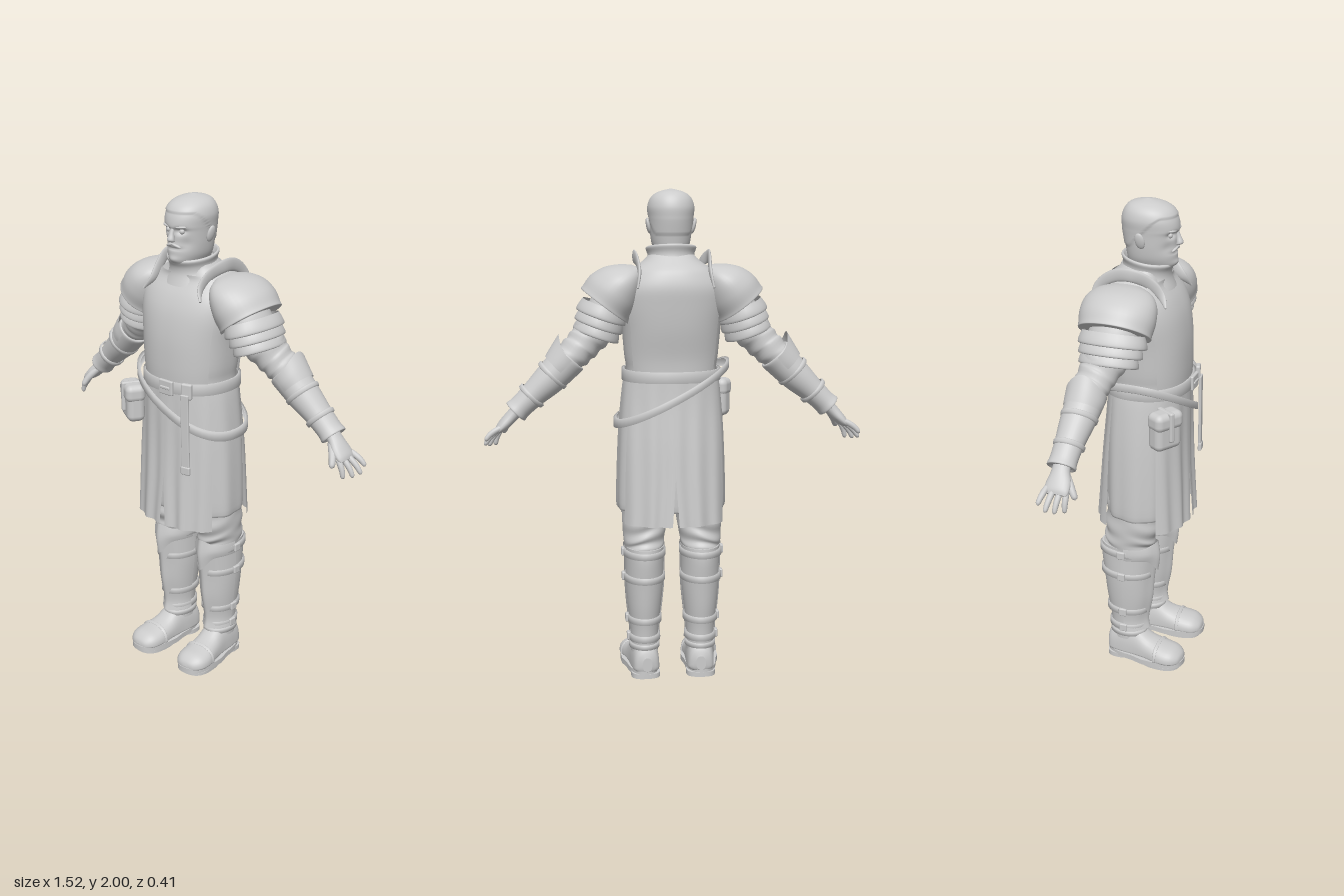
import * as THREE from 'three';
import { RoundedBoxGeometry } from 'three/addons/geometries/RoundedBoxGeometry.js';

const V3 = (x, y, z) => new THREE.Vector3(x, y, z);
const UP = V3(0, 1, 0), FRONT = V3(0, 0, 1), SIDE = V3(1, 0, 0);
const bump = (x, w) => Math.exp(-(x * x) / (w * w));

// Skin over cross-sections. Each row: [x, y, z, radiusU, radiusV+, radiusV-].
function loft(rows, { n = 4, seg = 32, ref = FRONT, axis = null, pow = 1, from = 0, to = 360, caps = true, warp = null } = {}) {
  const full = to - from === 360, cols = full ? seg : seg + 1;
  const R = rows.map(r => (r.length < 6 ? [...r, r[4] ?? r[3], r[4] ?? r[3]].slice(0, 3).concat([r[3], r[4] ?? r[3], r[4] ?? r[3]]) : r));
  const at = (i) => R[Math.max(0, Math.min(R.length - 1, i))];
  const rings = [];
  for (let k = 0; k <= (R.length - 1) * n; k++) {
    const i = Math.min(Math.floor(k / n), R.length - 2), t = k / n - i;
    rings.push(at(i).map((b, c) => {
      const a = at(i - 1)[c], d = at(i + 1)[c], e = at(i + 2)[c];
      const v = b + 0.5 * t * (d - a + t * (2 * a - 5 * b + 4 * d - e + t * (3 * (b - d) + e - a)));
      return c > 2 ? Math.max(0, v) : v;
    }));
  }
  const pos = [], idx = [], sp = (v) => Math.sign(v) * Math.abs(v) ** pow, last = rings.length - 1;
  rings.forEach((r, k) => {
    const p = rings[Math.max(0, k - 1)], q = rings[Math.min(last, k + 1)];
    const T = axis ? axis.clone() : V3(q[0] - p[0], q[1] - p[1], q[2] - p[2]).normalize();
    const V = ref.clone().addScaledVector(T, -ref.dot(T)).normalize(), U = T.clone().cross(V);
    for (let j = 0; j < cols; j++) {
      const th = THREE.MathUtils.degToRad(from + (to - from) * j / seg), s = Math.sin(th);
      const pt = V3(r[0], r[1], r[2]).addScaledVector(U, r[3] * sp(Math.cos(th))).addScaledVector(V, (s > 0 ? r[4] : r[5]) * sp(s));
      if (warp) warp(pt, th, k / last);
      pos.push(pt.x, pt.y, pt.z);
    }
  });
  for (let k = 0; k < last; k++) for (let j = 0; j < seg; j++) {
    const a = k * cols + j, b = k * cols + (j + 1) % cols, c = a + cols, d = b + cols;
    idx.push(a, c, b, b, c, d);
  }
  if (caps && full) for (const k of [0, last]) {
    const base = pos.length / 3, mid = [0, 0, 0];
    for (let j = 0; j < cols; j++) for (let c = 0; c < 3; c++) {
      const v = pos[(k * cols + j) * 3 + c];
      pos.push(v);
      mid[c] += v / cols;
    }
    pos.push(...mid);
    for (let j = 0; j < cols; j++) {
      const a = base + j, b = base + (j + 1) % cols;
      idx.push(...(k ? [b, a, base + cols] : [a, b, base + cols]));
    }
  }
  const g = new THREE.BufferGeometry();
  g.setAttribute('position', new THREE.Float32BufferAttribute(pos, 3));
  g.setIndex(idx);
  g.computeVertexNormals();
  return g;
}

function mirrored(geo) {
  const g = geo.clone().scale(-1, 1, 1);
  const src = g.index ? Array.from(g.index.array) : Array.from({ length: g.attributes.position.count }, (_, i) => i);
  for (let i = 0; i < src.length; i += 3) [src[i], src[i + 1]] = [src[i + 1], src[i]];
  g.setIndex(src);
  return g;
}

export function createModel() {
  const model = new THREE.Group();
  const grey = new THREE.MeshStandardMaterial({ color: 0xcccccc, side: THREE.DoubleSide });
  grey.name = 'plain grey';
  const add = (name, geo) => {
    const m = new THREE.Mesh(geo, grey);
    m.name = name;
    model.add(m);
  };
  const pair = (name, geo) => { add(name + 'Left', geo); add(name + 'Right', mirrored(geo)); };
  const box = (w, h, d, x, y, z, ry = 0, rz = 0) =>
    new RoundedBoxGeometry(w, h, d, 3, Math.min(w, h, d) * 0.35).rotateZ(rz).rotateY(ry).translate(x, y, z);
  // A strap around a vertical form, with a little thickness
  const band = (x, y, z, h, rx, rf, rb, warp = null, pow = 1) => loft(
    [[-0.5, -0.012], [-0.5, 0], [0.5, 0], [0.5, -0.012]].map(([k, o]) => [x, y + k * h, z, rx + o, rf + o, rb + o]),
    { n: 1, seg: 48, axis: UP, caps: false, warp, pow });

  // Head: sockets, brow, lips and a raised hairline
  add('head', loft([[0, 1.7, 0.005, 0.07, 0.06, 0.08], [0, 1.735, 0.01, 0.055, 0.085, 0.085], [0, 1.75, 0.01, 0.062, 0.104, 0.088],
    [0, 1.78, 0.01, 0.075, 0.109, 0.092], [0, 1.82, 0.01, 0.082, 0.109, 0.098], [0, 1.87, 0.01, 0.086, 0.112, 0.106],
    [0, 1.893, 0.01, 0.088, 0.118, 0.108], [0, 1.93, 0.008, 0.09, 0.113, 0.106], [0, 1.965, 0.005, 0.078, 0.095, 0.09],
    [0, 1.988, 0, 0.05, 0.06, 0.06], [0, 2, 0, 0.006, 0.006, 0.006]], {
    n: 7, seg: 72, axis: UP, pow: 0.95, warp: (p) => {
      const x = Math.abs(p.x);
      if (p.z > 0.05) {
        p.z -= 0.016 * bump(x - 0.034, 0.018) * bump(p.y - 1.874, 0.012);
        p.z -= 0.008 * bump(x, 0.03) * bump(p.y - 1.803, 0.005);
        p.z += 0.005 * bump(x, 0.03) * bump(p.y - 1.815, 0.007);
        p.z -= 0.006 * bump(x - 0.05, 0.018) * bump(p.y - 1.825, 0.02);
        p.z += 0.006 * bump(x, 0.025) * bump(p.y - 1.76, 0.012);
      }
      const line = 1.94 - 0.07 * THREE.MathUtils.smoothstep(-p.z, -0.08, 0.02) - 0.05 * THREE.MathUtils.smoothstep(-p.z, 0, 0.06);
      const k = 0.04 * THREE.MathUtils.smoothstep(p.y, line, line + 0.006) * (p.y < 1.985 ? 1 : 0.5);
      p.x *= 1 + k; p.z *= 1 + k;
    } }));
  add('nose', loft([[0, 1.888, 0.116, 0.009, 0.008], [0, 1.862, 0.124, 0.01, 0.011], [0, 1.842, 0.13, 0.015, 0.014],
    [0, 1.833, 0.126, 0.014, 0.012], [0, 1.829, 0.12, 0.004, 0.004]], { seg: 16, axis: V3(0, -1, 0) }));
  pair('ear', new THREE.SphereGeometry(1, 16, 12).scale(0.009, 0.033, 0.02).rotateZ(-0.2).rotateX(-0.15).translate(0.091, 1.855, 0));
  pair('eye', new THREE.SphereGeometry(0.011, 14, 10).translate(0.034, 1.872, 0.102));
  pair('brow', new THREE.SphereGeometry(1, 14, 10).scale(0.024, 0.005, 0.009).rotateZ(0.08).rotateY(0.35).translate(0.036, 1.89, 0.113));
  pair('moustache', new THREE.SphereGeometry(1, 14, 10).scale(0.022, 0.006, 0.007).rotateZ(-0.3).rotateY(0.25).translate(0.017, 1.816, 0.117));

  // Rolled collar, higher at the nape
  const tilt = (p) => { p.y -= 0.16 * p.z; };
  add('collar', loft([[0, 1.67, -0.01, 0.13, 0.12, 0.13], [0, 1.71, -0.005, 0.1, 0.1, 0.1], [0, 1.74, 0, 0.094, 0.096, 0.098],
    [0, 1.765, 0, 0.102, 0.108, 0.104], [0, 1.772, 0, 0.094, 0.1, 0.096], [0, 1.75, 0, 0.08, 0.085, 0.085]], { axis: UP, caps: false, warp: tilt }));

  // Cuirass, with side seams and soft chest shaping
  add('torso', loft([[0, 1.2, 0, 0.185, 0.165, 0.14], [0, 1.28, 0, 0.182, 0.162, 0.138], [0, 1.34, 0, 0.19, 0.166, 0.145],
    [0, 1.45, 0, 0.2, 0.162, 0.165], [0, 1.55, 0, 0.215, 0.146, 0.175], [0, 1.62, 0, 0.21, 0.118, 0.178],
    [0, 1.68, -0.01, 0.165, 0.09, 0.15], [0, 1.72, -0.01, 0.11, 0.08, 0.11], [0, 1.75, 0, 0.085, 0.08, 0.085]],
  { axis: UP, seg: 64, pow: 0.85, warp: (p) => { p.z += 0.008 * bump(p.y - 1.52, 0.08) * bump(Math.abs(p.x) - 0.08, 0.06) * Math.sign(p.z); } }));
  const tabard = [[0, 1.27, 0, 0.19, 0.17, 0.147], [0, 1.34, 0, 0.198, 0.173, 0.152], [0, 1.45, 0, 0.207, 0.17, 0.172],
    [0, 1.55, 0, 0.22, 0.154, 0.183], [0, 1.62, 0, 0.215, 0.126, 0.186], [0, 1.675, -0.01, 0.172, 0.1, 0.16], [0, 1.7, -0.01, 0.14, 0.098, 0.14]];
  for (const [name, from, to] of [['breastCloth', 32, 148], ['backCloth', 216, 324]])
    add(name, loft(tabard, { axis: UP, seg: 40, pow: 0.85, from, to }));

  // Skirt with loose folds
  const folds = (p, th, t) => {
    const k = 1 + 0.022 * t * Math.sin(th * 11 + 0.8) + 0.012 * t * Math.sin(th * 5);
    p.x *= k; p.z *= k;
  };
  const flip = { axis: V3(0, -1, 0), caps: false, pow: 0.85 };
  add('skirt', loft([[0, 1.28, 0, 0.185, 0.158, 0.138], [0, 1.2, 0, 0.2, 0.158, 0.142], [0, 1, 0, 0.217, 0.155, 0.15], [0, 0.735, 0, 0.225, 0.15, 0.15],
    [0, 0.735, 0, 0.213, 0.138, 0.138], [0, 0.95, 0, 0.205, 0.14, 0.14]], { ...flip, seg: 88, n: 5, warp: folds }));

  // Tabard tails: halves that part into a slit toward the hem
  const tail = (front) => {
    const sign = front ? 1 : -1;
    const r = (y, rx, rz) => [0, y, 0, rx, rz, rz];
    const rows = front ? [r(1.28, 0.19, 0.17), r(1.15, 0.206, 0.172), r(0.95, 0.222, 0.175), r(0.655, 0.23, 0.188)]
      : [r(1.28, 0.19, 0.146), r(1.15, 0.206, 0.152), r(0.95, 0.222, 0.17), r(0.66, 0.23, 0.192)];
    return loft(rows, { axis: UP.clone().negate(), pow: 0.85, seg: 30, n: 6, from: front ? 90 : 212, to: front ? 148 : 270,
      warp: (p, th, t) => {
        p.z += sign * 0.006 * t * Math.sin(Math.abs(p.x) * 75 + 1);
        p.x = Math.abs(p.x) + 0.014 * Math.max(0, (0.86 - p.y) / 0.2) * bump(p.x, 0.1);
      } });
  };
  pair('frontTail', tail(true));
  pair('backTail', tail(false));

  // Belts, buckle, hanging end and pouch
  add('waistBelt', band(0, 1.262, 0, 0.045, 0.202, 0.186, 0.162, null, 0.88));
  add('slungBelt', band(0, 1.17, 0, 0.032, 0.236, 0.192, 0.178, (p) => { p.y -= 0.52 * p.x - 0.25 * p.x * p.x; }, 0.85));
  add('buckle', box(0.07, 0.06, 0.015, 0.025, 1.262, 0.188));
  add('buckleTongue', box(0.05, 0.012, 0.02, 0.025, 1.262, 0.19));
  add('beltEnd', box(0.036, 0.33, 0.012, 0.122, 1.085, 0.184, 0.15, 0.02));
  add('beltEndTip', box(0.042, 0.035, 0.016, 0.125, 0.93, 0.185, 0.15));
  add('beltLoop', box(0.045, 0.065, 0.02, 0.12, 1.262, 0.172, 0.3));
  add('pouch', box(0.125, 0.15, 0.075, -0.2, 1.135, 0.145, -0.55));
  add('pouchFlap', box(0.133, 0.075, 0.084, -0.201, 1.182, 0.147, -0.55));
  add('pouchStrap', box(0.022, 0.125, 0.09, -0.202, 1.16, 0.15, -0.55));

  // Shoulder dome, its standing flange and overlapping lames
  pair('pauldron', loft([[0.14, 1.69, -0.035, 0.02, 0.06], [0.165, 1.672, -0.035, 0.055, 0.115], [0.2, 1.64, -0.035, 0.09, 0.145],
    [0.235, 1.595, -0.035, 0.113, 0.152], [0.262, 1.555, -0.035, 0.116, 0.146], [0.27, 1.54, -0.035, 0.118, 0.144], [0.268, 1.545, -0.035, 0.1, 0.13]],
  { seg: 40, axis: V3(0.6, -0.8, 0) }));
  pair('pauldronFlange', loft([[0.15, 1.62, 0.128, 0.004, 0.004], [0.125, 1.66, 0.1, 0.018, 0.007], [0.13, 1.705, 0.055, 0.025, 0.007], [0.15, 1.735, -0.01, 0.027, 0.007],
    [0.145, 1.725, -0.085, 0.025, 0.007], [0.14, 1.68, -0.15, 0.018, 0.007], [0.15, 1.62, -0.182, 0.004, 0.004]], { seg: 14, n: 6, ref: SIDE }));
  for (let i = 0; i < 3; i++) {
    const x = 0.272 + i * 0.011, y = 1.545 - i * 0.036, r = 0.1 - i * 0.004, v = 0.134 - i * 0.009, z = -0.037 - i * 0.004;
    pair('shoulderLame' + (i + 1), loft([[x, y, z, r - 0.01, v - 0.01], [x + 0.008, y - 0.025, z, r, v], [x + 0.014, y - 0.046, z, r + 0.004, v + 0.003],
      [x + 0.014, y - 0.05, z, r - 0.004, v - 0.006], [x + 0.012, y - 0.04, z, r - 0.014, v - 0.016]], { axis: V3(0.33, -0.944, 0), caps: false, n: 3 }));
  }

  // Sleeve, forearm guard and cuff
  const wrinkle = (p, th, t) => { p.y += 0.005 * Math.sin(t * 42 + th); };
  pair('sleeve', loft([[0.22, 1.58, -0.04, 0.08, 0.1], [0.29, 1.48, -0.05, 0.082, 0.098], [0.35, 1.405, -0.07, 0.07, 0.078],
    [0.4, 1.355, -0.085, 0.064, 0.07], [0.47, 1.29, -0.095, 0.055, 0.06]], { n: 8, warp: wrinkle }));
  pair('vambrace', loft([[0.41, 1.345, -0.088, 0.058, 0.064], [0.412, 1.343, -0.088, 0.07, 0.076], [0.44, 1.315, -0.09, 0.069, 0.074], [0.5, 1.255, -0.097, 0.063, 0.067],
    [0.56, 1.2, -0.102, 0.052, 0.057], [0.61, 1.153, -0.105, 0.047, 0.054], [0.632, 1.132, -0.106, 0.05, 0.057], [0.63, 1.134, -0.106, 0.036, 0.044]],
  { axis: V3(0.71, -0.704, 0) }));
  pair('elbowFlare', loft([[0.418, 1.348, -0.09, 0.076, 0.08], [0.442, 1.32, -0.09, 0.074, 0.078], [0.462, 1.3, -0.092, 0.07, 0.073]],
    { axis: V3(0.71, -0.704, 0), from: 80, to: 280, warp: (p, th, t) => {
      const k = (1 - t) * 0.035 * Math.max(0, -Math.cos(th)) ** 3;
      p.x -= k * 0.4; p.y += k;
    } }));
  for (const [k, r] of [[0.32, 0.067], [0.72, 0.056]]) {
    const x = 0.41 + 0.21 * k, y = 1.345 - 0.2 * k, z = -0.088 - 0.017 * k;
    pair('vambraceStrap', loft([[x, y, z, r], [x + 0.003, y - 0.003, z, r + 0.006], [x + 0.012, y - 0.012, z, r + 0.005], [x + 0.015, y - 0.015, z, r - 0.002]], { n: 1, caps: false }));
  }

  // Hand
  pair('palm', loft([[0.61, 1.155, -0.105, 0.03, 0.036], [0.64, 1.122, -0.104, 0.026, 0.036], [0.67, 1.09, -0.1, 0.024, 0.048],
    [0.694, 1.066, -0.1, 0.019, 0.05], [0.706, 1.054, -0.1, 0.01, 0.044]], { seg: 20 }));
  const fingers = [[0.702, 1.066, -0.14, 0.755, 1.026, -0.152], [0.703, 1.058, -0.113, 0.758, 1.002, -0.122],
    [0.698, 1.054, -0.087, 0.742, 0.993, -0.091], [0.692, 1.052, -0.062, 0.717, 0.99, -0.06], [0.645, 1.1, -0.075, 0.685, 1.035, -0.028]];
  fingers.forEach(([x, y, z, X, Y, Z], i) => {
    const r = i === 4 ? 0.015 : 0.0115, L = (t, b = 0) => [x + (X - x) * t + b, y + (Y - y) * t + b, z + (Z - z) * t];
    pair(i === 4 ? 'thumb' : 'finger' + (i + 1), loft([[...L(-0.15), r], [...L(0.25, 0.003), r * 1.05], [...L(0.6, 0.003), r * 0.95], [...L(0.9), r * 0.75], [...L(1), 0.002]], { seg: 12 }));
  });

  // Trousers, bloused over the boots
  const baggy = (p, th, t) => { p.y += 0.006 * Math.sin(th * 3 + t * 9); p.z += 0.005 * Math.sin(t * 34 + th * 2); };
  pair('trousers', loft([[0.095, 1, -0.01, 0.1, 0.12, 0.12], [0.105, 0.8, -0.015, 0.098, 0.115, 0.12], [0.112, 0.68, -0.02, 0.094, 0.112, 0.118],
    [0.117, 0.6, -0.03, 0.086, 0.108, 0.11], [0.117, 0.55, -0.04, 0.08, 0.1, 0.105], [0.117, 0.5, -0.045, 0.07, 0.09, 0.1]], { n: 8, axis: V3(0, -1, 0), warp: baggy }));

  // Tall boot shaft, shin plate, knee guard and straps
  const shin = [[0.117, 0.1, -0.045, 0.056, 0.07, 0.07], [0.117, 0.2, -0.045, 0.058, 0.074, 0.076], [0.117, 0.3, -0.045, 0.069, 0.092, 0.092],
    [0.116, 0.4, -0.045, 0.077, 0.1, 0.104], [0.116, 0.5, -0.045, 0.078, 0.112, 0.116], [0.116, 0.555, -0.045, 0.08, 0.114, 0.114]];
  pair('bootShaft', loft(shin, { axis: UP }));
  const ridge = (p) => { p.z += 0.012 * bump(p.x - 0.117, 0.02); };
  pair('shinPlate', loft([[0.117, 0.15, -0.045, 0.068, 0.086, 0.08], ...shin.slice(1, 5).map(([x, y, z, a, b, c]) => [x, y, z, a + 0.006, b + 0.006, c])],
    { axis: UP, from: 0, to: 180, warp: ridge }));
  pair('kneeGuard', loft([[0.117, 0.47, -0.045, 0.084, 0.122, 0.1], [0.117, 0.52, -0.045, 0.088, 0.13, 0.1], [0.117, 0.575, -0.045, 0.086, 0.122, 0.1]],
    { axis: UP, from: 5, to: 175, seg: 30, warp: (p, th, t) => {
      const m = bump(p.x - 0.117, 0.032);
      p.y += (1 - t) * (0.035 - 0.062 * m) + t * (0.022 * m - 0.015);
      ridge(p);
    } }));
  [[0.425, 0.086, 0.112, 0.117], [0.53, 0.088, 0.118, 0.122], [0.245, 0.072, 0.092, 0.092], [0.165, 0.066, 0.084, 0.082]].forEach(([y, rx, rf, rb], i) => {
    pair('bootStrap' + (i + 1), band(0.117, y, -0.045, 0.026, rx, rf, rb));
    pair('bootBuckle' + (i + 1), box(0.014, 0.034, 0.034, 0.117 + rx, y, -0.045));
  });

  // Foot, sole and heel, toes turned slightly out
  const turn = (g) => g.translate(-0.117, 0, 0.045).rotateY(0.06).translate(0.117, 0, -0.045);
  pair('foot', turn(loft([[0.117, 0.06, -0.132, 0.02, 0.03, 0.03], [0.117, 0.045, -0.115, 0.05, 0.085, 0.025], [0.117, 0.04, -0.06, 0.058, 0.125, 0.022],
    [0.118, 0.04, 0, 0.059, 0.115, 0.022], [0.12, 0.04, 0.06, 0.064, 0.072, 0.022], [0.123, 0.038, 0.12, 0.074, 0.055, 0.02],
    [0.123, 0.036, 0.17, 0.068, 0.046, 0.018], [0.122, 0.034, 0.2, 0.042, 0.026, 0.012], [0.121, 0.034, 0.208, 0.01, 0.006, 0.006]], { ref: UP, axis: FRONT, pow: 0.85 })));
  pair('ankleCuff', band(0.117, 0.13, -0.045, 0.02, 0.064, 0.082, 0.078));
  pair('toeSeam', turn(loft([[0.122, 0.038, 0.098, 0.073, 0.061, 0.02], [0.122, 0.038, 0.102, 0.077, 0.064, 0.02], [0.123, 0.038, 0.112, 0.075, 0.058, 0.02]], { ref: UP, axis: FRONT, pow: 0.85 })));
  const sole = (x, z, h0, h1, rx, rf, rb) => turn(loft([[x, h0, z, rx, rf, rb], [x, h1, z, rx, rf, rb]], { n: 1, axis: UP, pow: 0.75, warp: (p) => { if (p.z < 0.05) p.x = 0.118 + (p.x - 0.118) * 0.86; } }));
  pair('sole', sole(0.121, 0.05, 0.01, 0.033, 0.078, 0.162, 0.182));
  pair('soleTread', sole(0.122, 0.11, 0, 0.012, 0.073, 0.092, 0.085));
  pair('heel', sole(0.118, -0.08, 0, 0.02, 0.07, 0.05, 0.052));
  return model;
}
